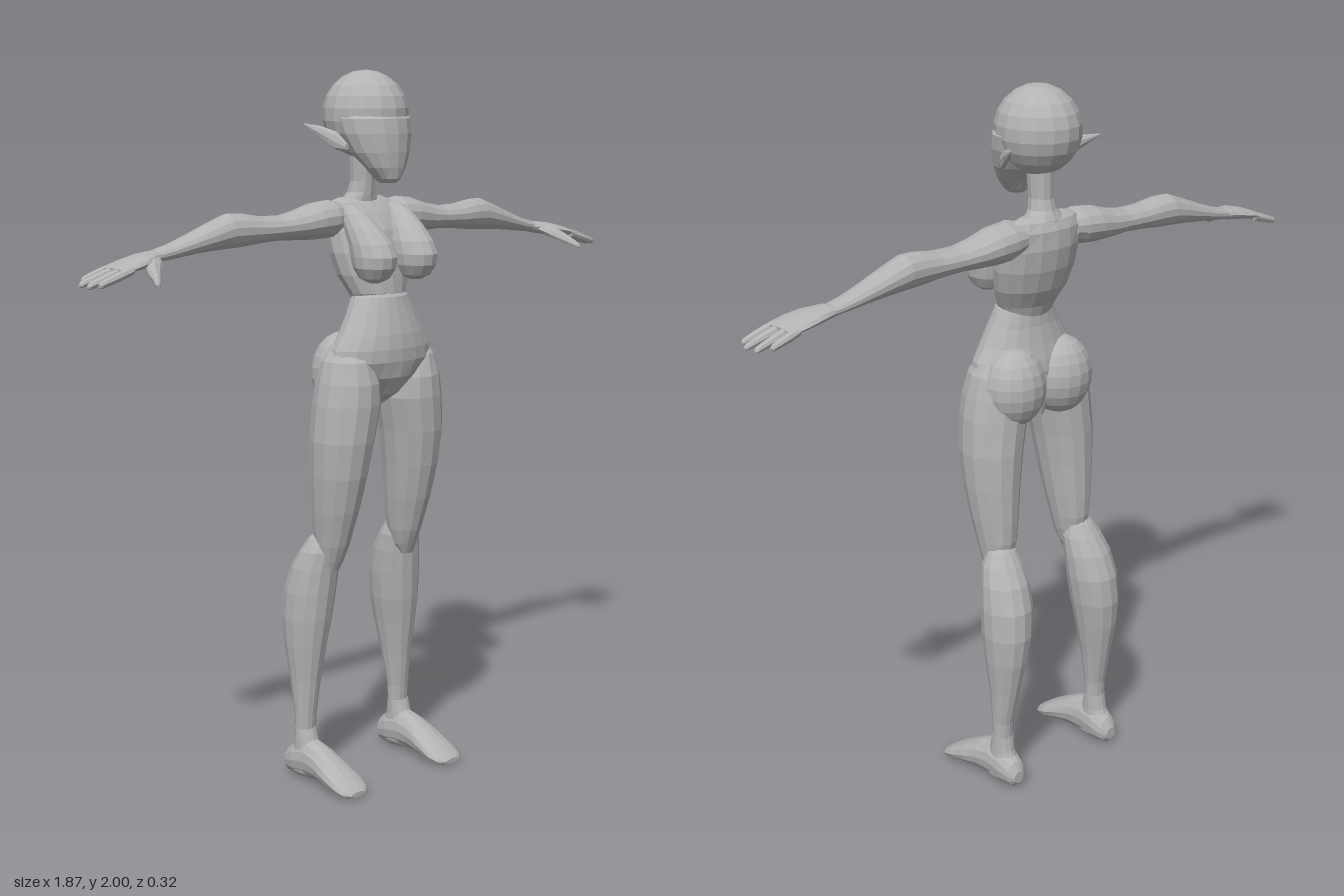
import * as THREE from 'three';

const clay = new THREE.MeshStandardMaterial({ color: 0xb3b3b3 });
clay.name = 'clayGrey';

// Flat facets: every triangle gets its own normal.
function facet(geo) {
  const g = geo.index ? geo.toNonIndexed() : geo;
  g.computeVertexNormals();
  return g;
}

// Skin of elliptical sections along an axis, given in rising order.
// Each ring is [t, a0, a1, b0, b1]; (a, b) is (y,z) for x, (z,x) for y, (x,y) for z.
function loft(axis, rings, sides = 14) {
  const k = 'xyz'.indexOf(axis);
  const pos = [], idx = [];
  const put = (t, a, b) => {
    const p = [0, 0, 0];
    p[k] = t; p[(k + 1) % 3] = a; p[(k + 2) % 3] = b;
    pos.push(...p);
  };
  for (const [t, a0, a1, b0, b1] of rings) {
    for (let j = 0; j < sides; j++) {
      const w = (j / sides) * Math.PI * 2;
      put(t, (a0 + a1) / 2 + Math.cos(w) * (a1 - a0) / 2, (b0 + b1) / 2 + Math.sin(w) * (b1 - b0) / 2);
    }
  }
  const n = rings.length;
  for (let i = 0; i < n - 1; i++) {
    for (let j = 0; j < sides; j++) {
      const p = i * sides + j, q = i * sides + (j + 1) % sides;
      idx.push(p, q, q + sides, p, q + sides, p + sides);
    }
  }
  // End caps
  for (const [r, flip] of [[0, true], [n - 1, false]]) {
    const [t, a0, a1, b0, b1] = rings[r];
    const c = pos.length / 3;
    put(t, (a0 + a1) / 2, (b0 + b1) / 2);
    for (let j = 0; j < sides; j++) {
      const p = r * sides + j, q = r * sides + (j + 1) % sides;
      if (flip) idx.push(c, q, p); else idx.push(c, p, q);
    }
  }
  const g = new THREE.BufferGeometry();
  g.setAttribute('position', new THREE.Float32BufferAttribute(pos, 3));
  g.setIndex(idx);
  return facet(g);
}

// Mirrored copy across x = 0 with the winding turned round.
function mirrored(geo) {
  const g = geo.clone();
  const p = g.attributes.position;
  const v = [0, 1, 2].map(() => new THREE.Vector3());
  for (let i = 0; i < p.count; i += 3) {
    v.forEach((u, j) => u.fromBufferAttribute(p, i + j));
    [v[0], v[2], v[1]].forEach((u, j) => p.setXYZ(i + j, -u.x, u.y, u.z));
  }
  g.computeVertexNormals();
  return g;
}

function ellipsoid(x, y, z, rx, ry, rz, w = 16, h = 11) {
  return facet(new THREE.SphereGeometry(1, w, h).scale(rx, ry, rz).translate(x, y, z));
}

export function createModel() {
  const model = new THREE.Group();
  model.name = 'figure';
  const add = (name, geo) => {
    const m = new THREE.Mesh(geo, clay);
    m.name = name;
    model.add(m);
  };
  const pair = (name, geo) => {
    add('left' + name, geo);
    add('right' + name, mirrored(geo));
  };
  // Upright section centred on x = 0
  const mid = (y, z0, z1, w) => [y, z0, z1, -w, w];

  // Head
  add('cranium', ellipsoid(0, 1.88, -0.024, 0.116, 0.12, 0.121));
  add('face', loft('y', [
    mid(1.698, 0.04, 0.09, 0.02), mid(1.71, 0.025, 0.1, 0.036), mid(1.74, 0.005, 0.105, 0.062),
    mid(1.78, -0.04, 0.107, 0.089), mid(1.83, -0.08, 0.106, 0.108), mid(1.87, -0.1, 0.1, 0.113),
    mid(1.885, -0.09, 0.085, 0.1),
  ], 16));
  pair('Ear', loft('z', [
    [-0.097, 0.157, 0.16, 1.853, 1.857], [-0.055, 0.122, 0.146, 1.818, 1.85],
    [-0.015, 0.1, 0.128, 1.786, 1.835], [0.012, 0.095, 0.108, 1.786, 1.805],
  ], 8));

  // Neck and trunk
  add('neck', loft('y', [
    mid(1.6, -0.1, 0.01, 0.09), mid(1.645, -0.092, -0.005, 0.062), mid(1.67, -0.08, -0.002, 0.04),
    mid(1.7, -0.072, 0, 0.034), mid(1.8, -0.075, 0.01, 0.038),
  ], 12));
  add('chest', loft('y', [
    mid(1.36, -0.03, 0.07, 0.07), mid(1.4, -0.045, 0.09, 0.091), mid(1.45, -0.075, 0.085, 0.115),
    mid(1.51, -0.095, 0.075, 0.13), mid(1.57, -0.105, 0.055, 0.134), mid(1.62, -0.102, 0.02, 0.128),
    mid(1.645, -0.09, -0.005, 0.11), mid(1.656, -0.07, -0.02, 0.08),
  ], 16));
  pair('Breast', loft('y', [
    [1.434, 0.08, 0.11, 0.06, 0.095], [1.447, 0.05, 0.138, 0.037, 0.117],
    [1.475, 0.03, 0.158, 0.022, 0.132], [1.505, 0.02, 0.163, 0.018, 0.135],
    [1.54, 0.01, 0.146, 0.022, 0.132], [1.58, -0.01, 0.108, 0.036, 0.125],
    [1.615, -0.03, 0.066, 0.055, 0.115], [1.64, -0.04, 0.02, 0.07, 0.1],
  ]));
  add('pelvis', loft('y', [
    mid(1.082, -0.04, 0.03, 0.02), mid(1.12, -0.05, 0.088, 0.052), mid(1.17, -0.055, 0.117, 0.115),
    mid(1.215, -0.06, 0.126, 0.175), mid(1.25, -0.055, 0.127, 0.168), mid(1.29, -0.045, 0.122, 0.143),
    mid(1.34, -0.035, 0.11, 0.116), mid(1.39, -0.032, 0.097, 0.09), mid(1.415, -0.02, 0.075, 0.06),
  ], 20));
  pair('Buttock', ellipsoid(0.086, 1.18, -0.02, 0.095, 0.113, 0.087));

  // Legs
  pair('Thigh', loft('y', [
    [0.625, -0.012, 0.008, 0.125, 0.165], [0.655, -0.042, 0.022, 0.106, 0.178],
    [0.7, -0.062, 0.042, 0.093, 0.188], [0.74, -0.07, 0.055, 0.086, 0.194],
    [0.8, -0.072, 0.075, 0.076, 0.203], [0.9, -0.073, 0.101, 0.062, 0.214],
    [1, -0.074, 0.118, 0.046, 0.219], [1.1, -0.072, 0.124, 0.024, 0.212],
    [1.16, -0.068, 0.122, 0.03, 0.201], [1.22, -0.058, 0.105, 0.055, 0.184],
    [1.26, -0.03, 0.07, 0.085, 0.155],
  ]));
  pair('Calf', loft('y', [
    [0.14, -0.105, -0.055, 0.152, 0.215], [0.2, -0.109, -0.05, 0.15, 0.216],
    [0.3, -0.13, -0.038, 0.136, 0.222], [0.4, -0.151, -0.022, 0.118, 0.234],
    [0.48, -0.16, -0.01, 0.102, 0.24], [0.56, -0.154, -0.002, 0.092, 0.238],
    [0.63, -0.13, 0.004, 0.09, 0.228], [0.68, -0.1, 0.008, 0.093, 0.213],
    [0.715, -0.075, -0.002, 0.105, 0.193], [0.73, -0.06, -0.03, 0.13, 0.17],
  ]));
  pair('Ankle', loft('y', [
    [0.03, -0.14, -0.01, 0.148, 0.22], [0.07, -0.136, -0.015, 0.148, 0.22],
    [0.11, -0.116, -0.035, 0.15, 0.218], [0.155, -0.107, -0.052, 0.15, 0.217],
  ]));
  pair('Foot', loft('z', [
    [-0.15, 0.167, 0.202, 0.025, 0.06], [-0.135, 0.15, 0.218, 0.01, 0.088],
    [-0.1, 0.143, 0.225, 0.004, 0.115], [-0.05, 0.142, 0.226, 0.008, 0.128],
    [0, 0.14, 0.23, 0.013, 0.113], [0.05, 0.134, 0.238, 0.01, 0.086],
    [0.1, 0.13, 0.24, 0.004, 0.057], [0.13, 0.139, 0.234, 0.004, 0.036],
    [0.146, 0.16, 0.215, 0.01, 0.024],
  ]));

  // Arms
  pair('Arm', loft('x', [
    [0.09, 1.565, 1.645, -0.09, 0.01], [0.13, 1.55, 1.653, -0.098, 0.022],
    [0.18, 1.548, 1.648, -0.1, 0.022], [0.24, 1.55, 1.63, -0.094, 0.015],
    [0.3, 1.553, 1.619, -0.088, 0.01], [0.37, 1.549, 1.621, -0.086, 0.007],
    [0.43, 1.543, 1.631, -0.088, 0.004], [0.475, 1.541, 1.632, -0.09, 0.001],
    [0.53, 1.538, 1.612, -0.088, -0.002], [0.6, 1.532, 1.585, -0.084, -0.01],
    [0.66, 1.525, 1.564, -0.08, -0.016], [0.71, 1.52, 1.552, -0.077, -0.02],
  ]));

  // Hands
  pair('Palm', loft('x', [
    [0.69, 1.522, 1.55, -0.074, -0.022], [0.72, 1.516, 1.552, -0.08, -0.008],
    [0.76, 1.51, 1.547, -0.087, 0.016], [0.8, 1.505, 1.537, -0.09, 0.026],
    [0.835, 1.502, 1.525, -0.087, 0.028], [0.847, 1.505, 1.518, -0.078, 0.02],
  ], 12));
  // Each finger: base z, tip z, tip x
  [[-0.074, -0.079, 0.905], [-0.044, -0.049, 0.932], [-0.013, -0.01, 0.935], [0.016, 0.02, 0.922]]
    .forEach(([z0, z1, tip], i) => {
      const rings = [[0, 0.012], [0.35, 0.0125], [0.7, 0.011], [0.93, 0.009], [1, 0.004]].map(([t, r]) => {
        const x = 0.82 + (tip - 0.82) * t, y = 1.513 - (x - 0.82) * 0.3, z = z0 + (z1 - z0) * t;
        return [x, y - r, y + r, z - r, z + r];
      });
      pair('Finger' + (i + 1), loft('x', rings, 8));
    });
  pair('Thumb', loft('z', [
    [-0.02, 0.705, 0.77, 1.518, 1.546], [0.01, 0.72, 0.775, 1.502, 1.535],
    [0.035, 0.744, 0.784, 1.489, 1.518], [0.06, 0.763, 0.79, 1.479, 1.502],
    [0.075, 0.776, 0.795, 1.473, 1.49], [0.081, 0.784, 0.793, 1.473, 1.482],
  ], 8));

  return model;
}
